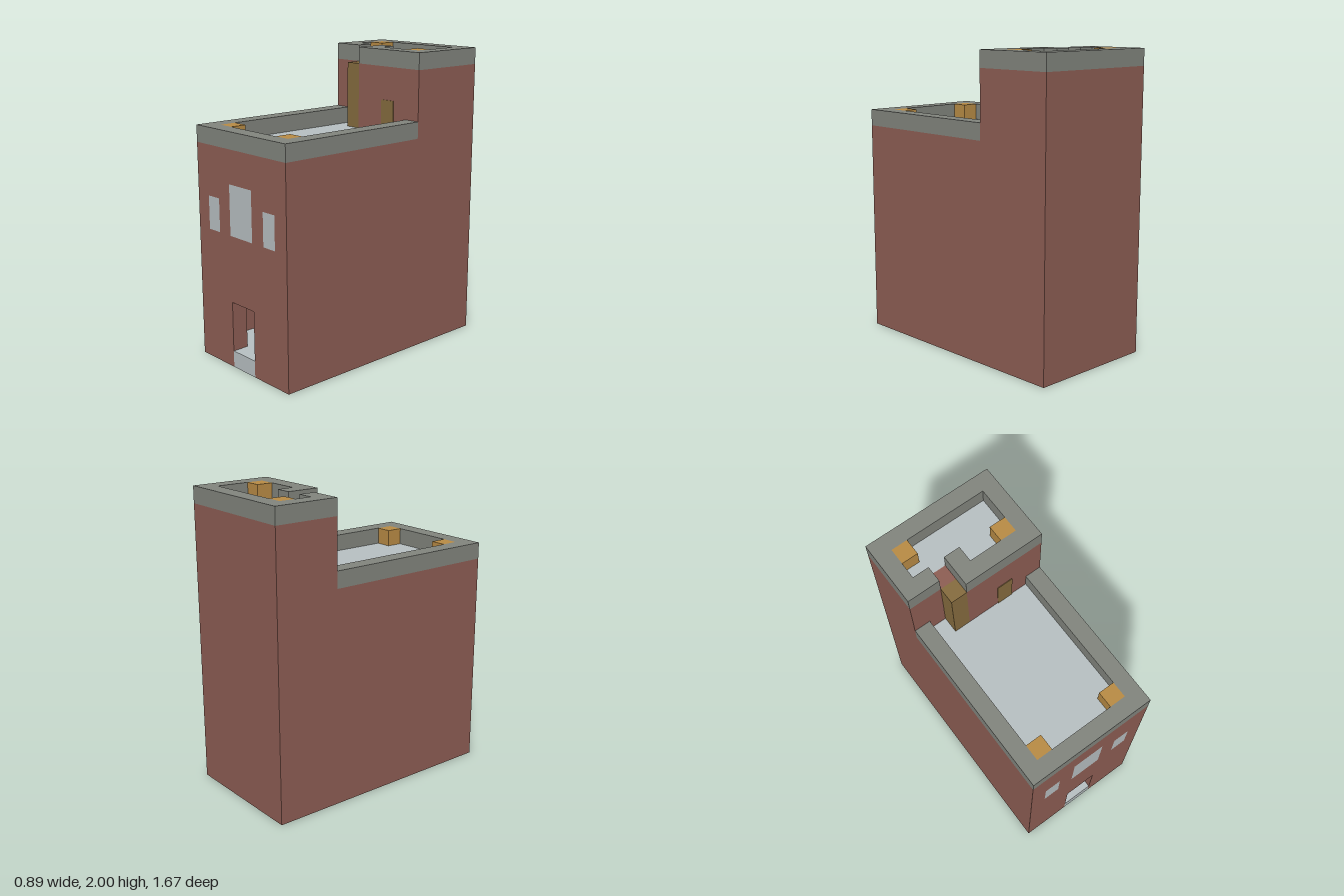
import * as THREE from 'three';

const U = 1 / 9; // one block

const mat = (name, color) => {
  const m = new THREE.MeshStandardMaterial({ color });
  m.name = name;
  return m;
};

export function createModel() {
  const model = new THREE.Group();
  model.name = 'townHouse';
  const brick = mat('brick', 0x8e5e54);
  const stone = mat('greyStone', 0x82857e);
  const pale = mat('paleStone', 0xb8c0c2);
  const lamp = mat('amber', 0xb98c45);
  const wood = mat('brownWood', 0x866c3f);

  // Box between two corners, measured in blocks
  const box = (name, m, x0, x1, y0, y1, z0, z1) => {
    const mesh = new THREE.Mesh(new THREE.BoxGeometry((x1 - x0) * U, (y1 - y0) * U, (z1 - z0) * U), m);
    mesh.position.set((x0 + x1) * U / 2, (y0 + y1) * U / 2, (z0 + z1) * U / 2);
    mesh.name = name;
    model.add(mesh);
  };

  // Front wall with a doorway notch and window holes
  const windows = [[-3, -2, 8, 10], [-1, 1, 8, 11], [2, 3, 8, 10]];
  const pts = (list) => list.map(([x, y]) => new THREE.Vector2(x * U, y * U));
  const wall = new THREE.Shape(pts([[-4, 0], [-1, 0], [-1, 4], [1, 4], [1, 0], [4, 0], [4, 13], [-4, 13]]));
  for (const [a, b, c, d] of windows) {
    wall.holes.push(new THREE.Path(pts([[a, c], [a, d], [b, d], [b, c]])));
    box('window', pale, a, b, c, d, 6.5, 7.5);
  }
  const front = new THREE.Mesh(new THREE.ExtrudeGeometry(wall, { depth: U, bevelEnabled: false }), brick);
  front.position.z = 6.5 * U;
  front.name = 'frontWall';
  model.add(front);

  // Back and side walls; the tower part is one block shorter on the right
  box('backWall', brick, -4, 4, 0, 17, -7.5, -6.5);
  for (const [x, end] of [[-4, -3.5], [3, -2.5]]) {
    box('sideWall', brick, x, x + 1, 0, 13, -6.5, 6.5);
    box('towerSideWall', brick, x, x + 1, 13, 17, -6.5, end);
    box('lowerParapetSide', stone, x, x + 1, 13, 14, end, 6.5);
    box('towerParapetSide', stone, x, x + 1, 17, 18, -6.5, end);
  }
  box('lowerParapetFront', stone, -4, 4, 13, 14, 6.5, 7.5);
  box('towerParapetBack', stone, -4, 4, 17, 18, -7.5, -6.5);

  // Tower front wall, stepped around the ladder
  box('towerFrontLeft', brick, -3, 0, 13, 17, -4.5, -3.5);
  box('towerFrontRight', brick, -1, 3, 13, 17, -3.5, -2.5);
  box('towerParapetStub', stone, -3, -2, 17, 18, -4.5, -3.5);
  box('towerParapetReturn', stone, -1, 0, 17, 18, -4.5, -3.5);
  box('towerParapetFront', stone, -1, 3, 17, 18, -3.5, -2.5);
  box('ladder', wood, -2, -1, 13, 17, -3.5, -2.5);
  box('roofDoor', wood, 1, 2, 13, 15, -2.5, -2.46);

  // Roof decks
  box('lowerRoof', pale, -3, 3, 12, 13, -3.5, 6.5);
  box('towerRoof', pale, -3, 3, 16, 17, -6.5, -4.5);
  box('towerRoofFront', pale, 0, 3, 16, 17, -4.5, -3.5);

  // Corner lamps
  for (const [x, y, z] of [[-3, 17, -6.5], [2, 17, -4.5], [-3, 13, 5.5], [2, 13, 5.5]])
    box('cornerLamp', lamp, x, x + 1, y, y + 1, z, z + 1);

  // Ground floor, doorstep and inner staircase
  box('floor', pale, -3, 3, 0, 1, -6.5, 6.5);
  box('doorstep', pale, -1, 1, 0, 1, 6.5, 7.5);
  for (let i = 1; i < 6; i++)
    box('stair', stone, i - 3, i - 2, Math.max(1, i - 1), i + 1, 3.5, 4.5);

  return model;
}
